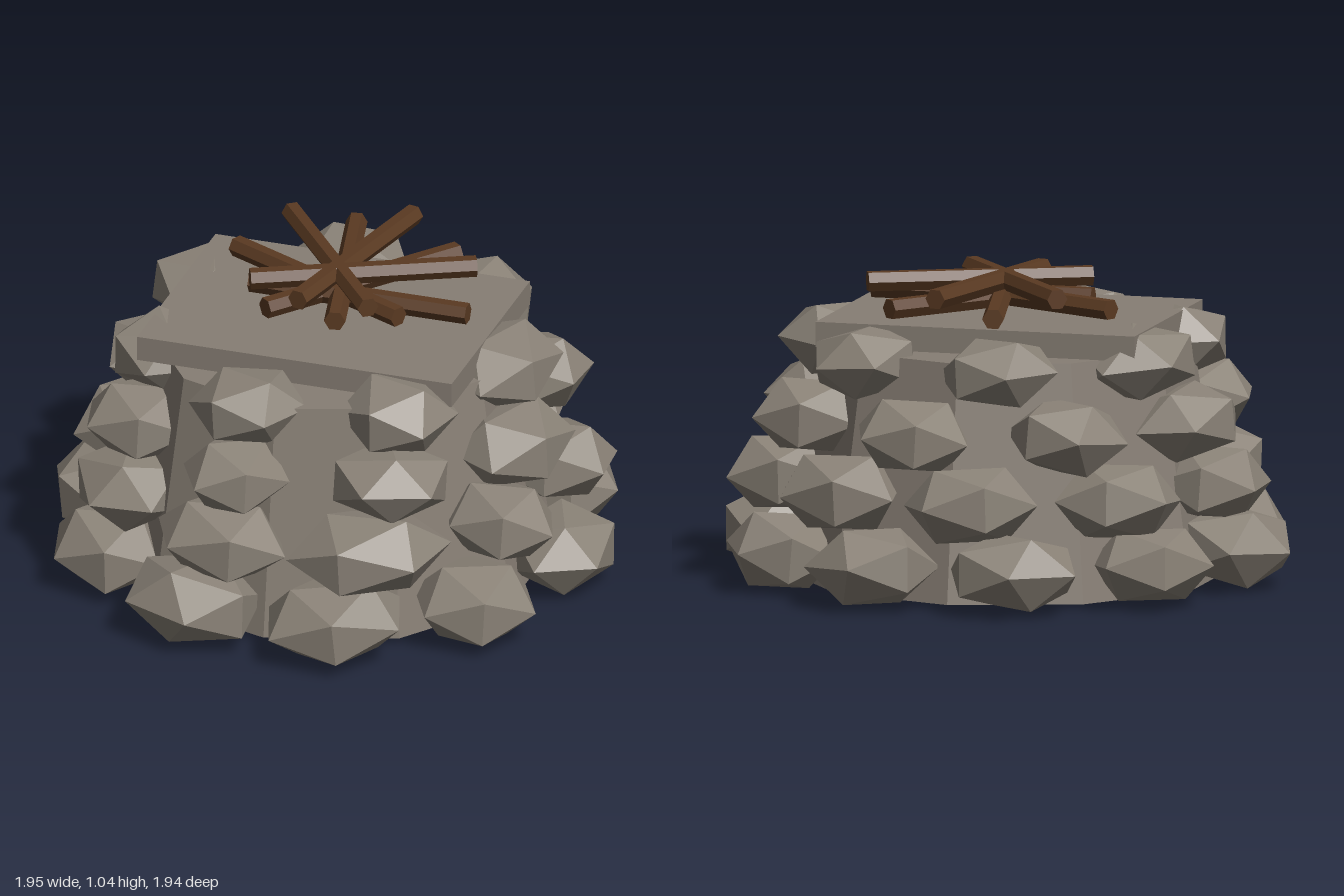
import * as THREE from 'three';

const mat = (color) => new THREE.MeshStandardMaterial({ color, flatShading: true, roughness: 1 });

// small seeded generator
function seeded(seed) {
  return () => {
    seed = (seed * 16807) % 2147483647;
    return seed / 2147483647;
  };
}

export function createModel() {
  const group = new THREE.Group();
  const rand = seeded(41);
  const stoneMat = mat(0x8a8277);
  const coreMat = mat(0x877e74);
  const woodMat = mat(0x5a3a22);
  const cx = -0.01, cz = 0.01;

  const add = (parent, name, geometry, material, x, y, z) => {
    const mesh = new THREE.Mesh(geometry, material);
    mesh.name = name;
    mesh.position.set(x, y, z);
    parent.add(mesh);
    return mesh;
  };

  // tapered ten-sided core and the flat slab on top
  add(group, 'core', new THREE.CylinderGeometry(0.61, 0.73, 0.79, 10), coreMat, -0.02, 0.425, cz);
  add(group, 'topSlab', new THREE.BoxGeometry(1.1, 0.085, 0.81), coreMat, -0.02, 0.862, 0.015);

  // rings of stones: height, ring radius, half thickness, first angle, stone widths going round from the front
  const rings = [
    { y: 0.148, r: 0.79, h: 0.138, start: 18, widths: [0.46, 0.4, 0.42, 0.38, 0.42, 0.43, 0.4, 0.46, 0.42, 0.46] },
    { y: 0.37, r: 0.725, h: 0.136, start: -13, widths: [0.44, 0.5, 0.34, 0.35, 0.45, 0.42, 0.42, 0.45, 0.42] },
    { y: 0.585, r: 0.67, h: 0.13, start: -11, widths: [0.33, 0.4, 0.43, 0.34, 0.38, 0.38, 0.42, 0.36] },
    { y: 0.79, r: 0.575, h: 0.124, start: -12, widths: [0.37, 0.36, 0.44, 0.38, 0.38, 0.4, 0.33] },
  ];
  rings.forEach(({ y, r, h, start, widths }, row) => {
    const ring = new THREE.Group();
    ring.name = `stoneRing${row + 1}`;
    group.add(ring);
    widths.forEach((w, i) => {
      const a = THREE.MathUtils.degToRad(start + (i * 360) / widths.length);
      const geo = new THREE.IcosahedronGeometry(1, 0);
      geo.rotateY(rand() * Math.PI * 2);
      geo.scale(w / 1.8, h + rand() * 0.012, 0.19 + rand() * 0.03);
      const stone = add(ring, 'stone', geo, stoneMat,
        cx + r * Math.sin(a), y + (rand() - 0.5) * 0.01, cz + r * Math.cos(a));
      stone.rotation.set((rand() - 0.5) * 0.16, a, (rand() - 0.5) * 0.2, 'YXZ');
    });
  });

  // firewood: seven crossed logs in two alternating layers, given as end points (x, z)
  const logs = [
    [-0.31, 0.015, 0.45, 0.015],
    [-0.28, 0.11, 0.4, -0.22],
    [-0.2, 0.19, 0.27, -0.41],
    [-0.08, 0.21, 0.08, -0.52],
    [0.05, 0.21, -0.12, -0.52],
    [0.16, 0.19, -0.31, -0.41],
    [0.24, 0.11, -0.44, -0.22],
  ];
  const firewood = new THREE.Group();
  firewood.name = 'firewood';
  group.add(firewood);
  logs.forEach(([x1, z1, x2, z2], i) => {
    const geo = new THREE.CylinderGeometry(0.036, 0.036, Math.hypot(x2 - x1, z2 - z1), 6);
    geo.rotateZ(Math.PI / 2);
    const log = add(firewood, 'log', geo, woodMat,
      (x1 + x2) / 2, i % 2 ? 1.02 : 0.962, (z1 + z2) / 2);
    log.rotation.y = Math.atan2(z1 - z2, x2 - x1);
  });

  return group;
}
